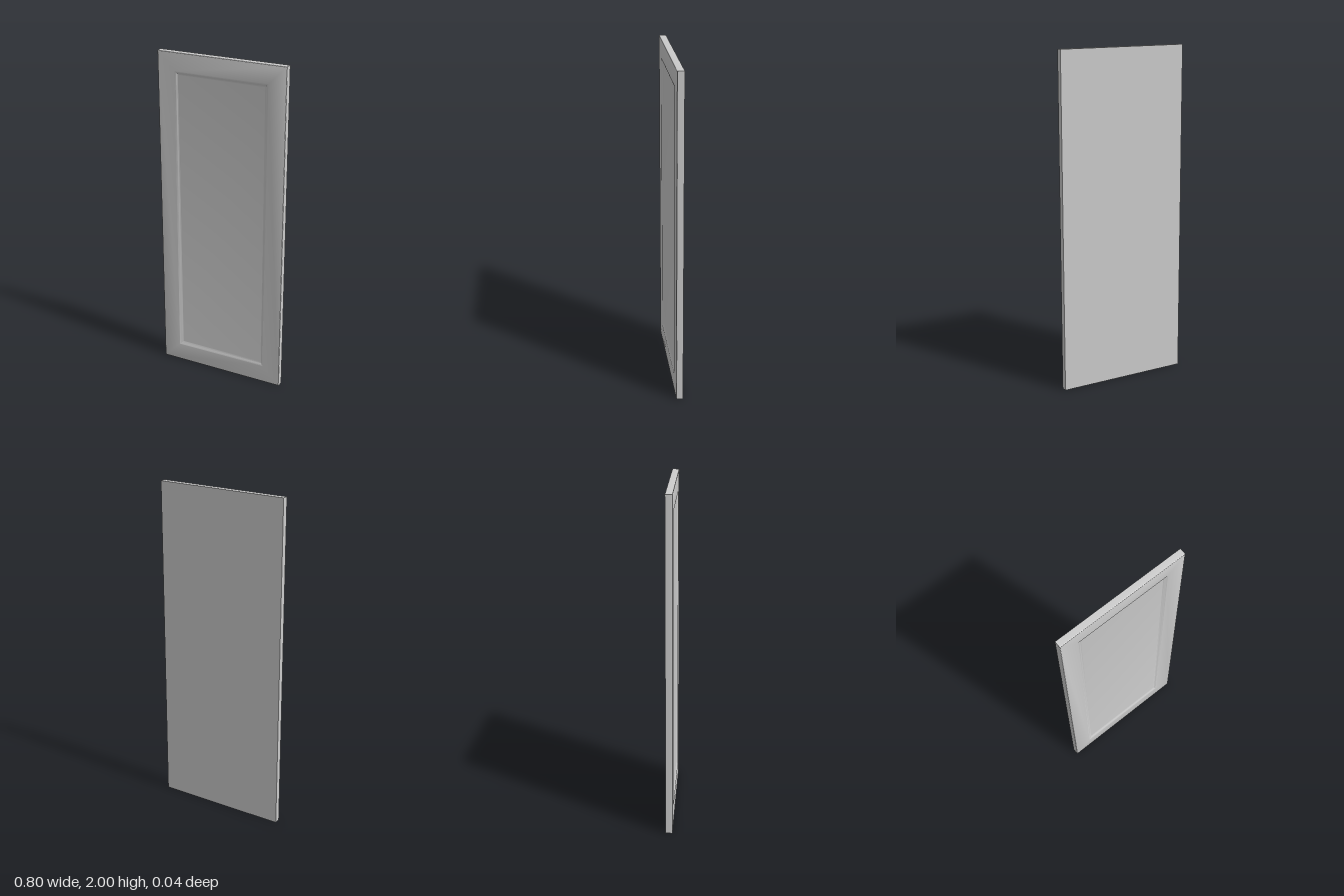
import * as THREE from 'three';
import { toCreasedNormals } from 'three/addons/utils/BufferGeometryUtils.js';

const W = 0.4, H = 2, T = 0.02; // half width, height, half thickness

// Cross-section of the door edge, from back to recessed panel: [inset, z]
function edgeProfile() {
  const points = [[0, -T]];
  const r = 0.005, steps = 5;
  // rounded front edge
  for (let i = 0; i <= steps; i++) {
    const a = (i / steps) * Math.PI / 2;
    points.push([r - r * Math.cos(a), T - r + r * Math.sin(a)]);
  }
  // soft S-shaped step down to the panel
  const start = 0.108, width = 0.024, depth = 0.01, n = 8;
  for (let i = 0; i <= n; i++) {
    const t = i / n;
    points.push([start + width * t, T - depth * t * t * (3 - 2 * t)]);
  }
  return points;
}

// Corners of the rectangle at a given inset, counter-clockwise from the front
function corners([inset, z]) {
  const x = W - inset, y0 = inset, y1 = H - inset;
  return [[-x, y0, z], [x, y0, z], [x, y1, z], [-x, y1, z]];
}

function doorGeometry() {
  const rings = edgeProfile().map(corners);
  const pos = [];
  const quad = (a, b, c, d) => pos.push(...a, ...b, ...c, ...a, ...c, ...d);
  // mitred frame
  for (let i = 0; i < rings.length - 1; i++) {
    for (let k = 0; k < 4; k++) {
      const n = (k + 1) % 4;
      quad(rings[i][k], rings[i][n], rings[i + 1][n], rings[i + 1][k]);
    }
  }
  // recessed panel and flat back
  quad(...rings[rings.length - 1]);
  quad(...rings[0].slice().reverse());
  const geometry = new THREE.BufferGeometry();
  geometry.setAttribute('position', new THREE.Float32BufferAttribute(pos, 3));
  return toCreasedNormals(geometry, THREE.MathUtils.degToRad(35));
}

export function createModel() {
  const group = new THREE.Group();
  group.name = 'cabinetDoor';
  const door = new THREE.Mesh(doorGeometry(), new THREE.MeshStandardMaterial({ color: 0xcccccc }));
  door.name = 'doorPanel';
  group.add(door);
  return group;
}
